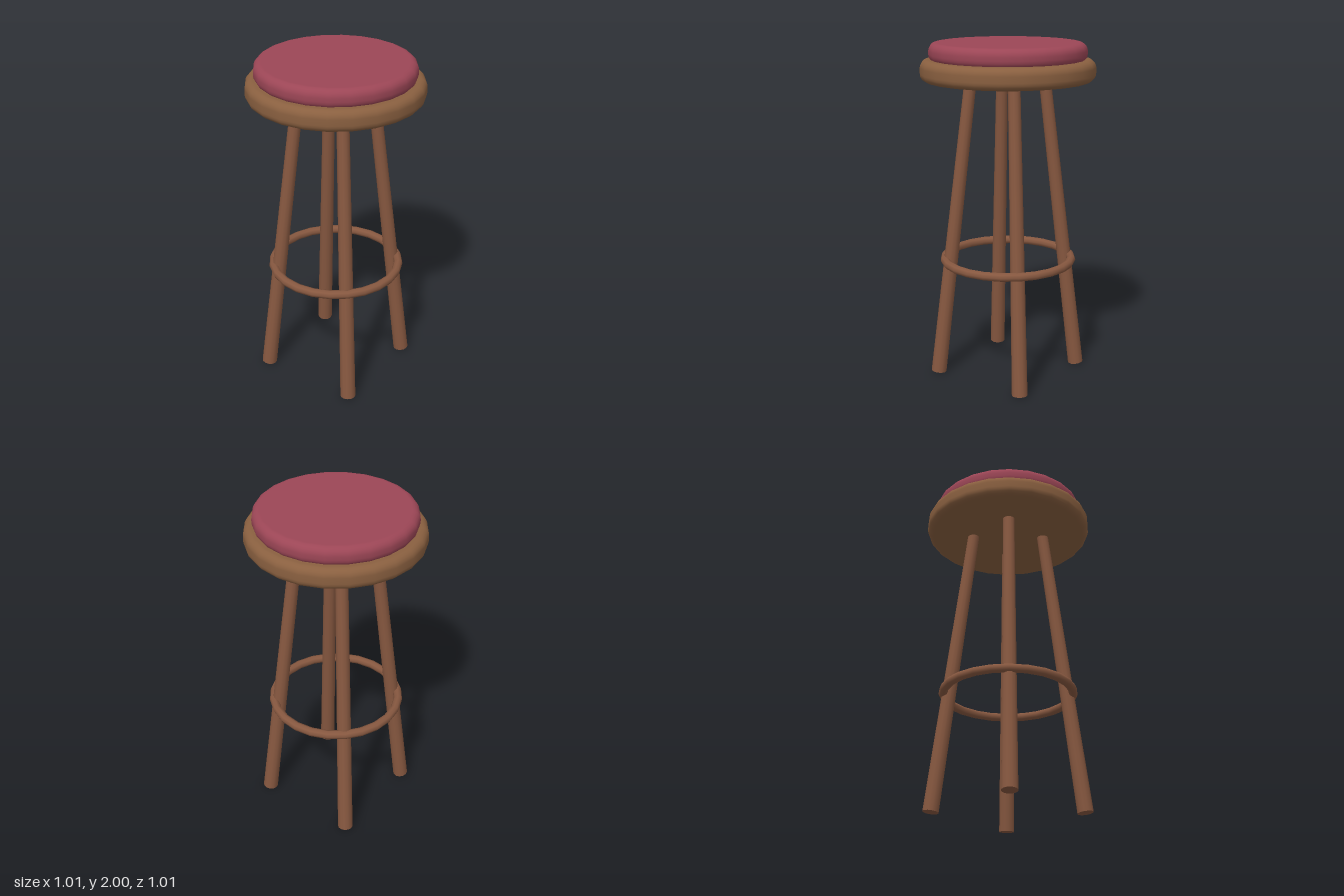
import * as THREE from 'three';

const mat = (name, color) => {
  const m = new THREE.MeshStandardMaterial({ color });
  m.name = name;
  return m;
};

// Disc with rounded rims; flat caps keep their own normals
function roundedDisc(radius, y0, y1, bevel, sides) {
  const arc = (cy, from) => Array.from({ length: 6 }, (_, i) => {
    const a = from + (i / 5) * Math.PI / 2;
    return new THREE.Vector2(radius - bevel + Math.cos(a) * bevel, cy + Math.sin(a) * bevel);
  });
  const profile = [
    new THREE.Vector2(0, y0),
    ...arc(y0 + bevel, -Math.PI / 2),
    ...arc(y1 - bevel, 0),
    new THREE.Vector2(0, y1),
  ];
  return new THREE.LatheGeometry(profile, sides);
}

export function createModel() {
  const group = new THREE.Group();
  const seatWood = mat('seat wood', 0x8a6040);
  const legWood = mat('leg wood', 0x875840);
  const fabric = mat('red cushion', 0x9c4656);

  const add = (name, geometry, material) => {
    const mesh = new THREE.Mesh(geometry, material);
    mesh.name = name;
    group.add(mesh);
    return mesh;
  };

  // Seat board and cushion
  add('seat', roundedDisc(0.505, 1.78, 1.905, 0.045, 24), seatWood);
  add('cushion', roundedDisc(0.455, 1.89, 2.0, 0.045, 24), fabric);

  // Four splayed, tapered legs
  const up = new THREE.Vector3(0, 1, 0);
  for (const [sx, sz, name] of [
    [1, 1, 'frontLeftLeg'], [-1, 1, 'frontRightLeg'],
    [1, -1, 'backLeftLeg'], [-1, -1, 'backRightLeg'],
  ]) {
    const foot = new THREE.Vector3(0.303 * sx, 0.01, 0.303 * sz);
    const top = new THREE.Vector3(0.15 * sx, 1.82, 0.15 * sz);
    const dir = top.clone().sub(foot);
    const leg = add(name, new THREE.CylinderGeometry(0.035, 0.046, dir.length(), 12), legWood);
    leg.position.copy(foot).add(top).multiplyScalar(0.5);
    leg.quaternion.setFromUnitVectors(up, dir.normalize());
  }

  // Foot ring around the legs
  const ring = add('footRing', new THREE.TorusGeometry(0.38, 0.026, 8, 24), legWood);
  ring.rotation.x = Math.PI / 2;
  ring.position.y = 0.715;

  return group;
}
